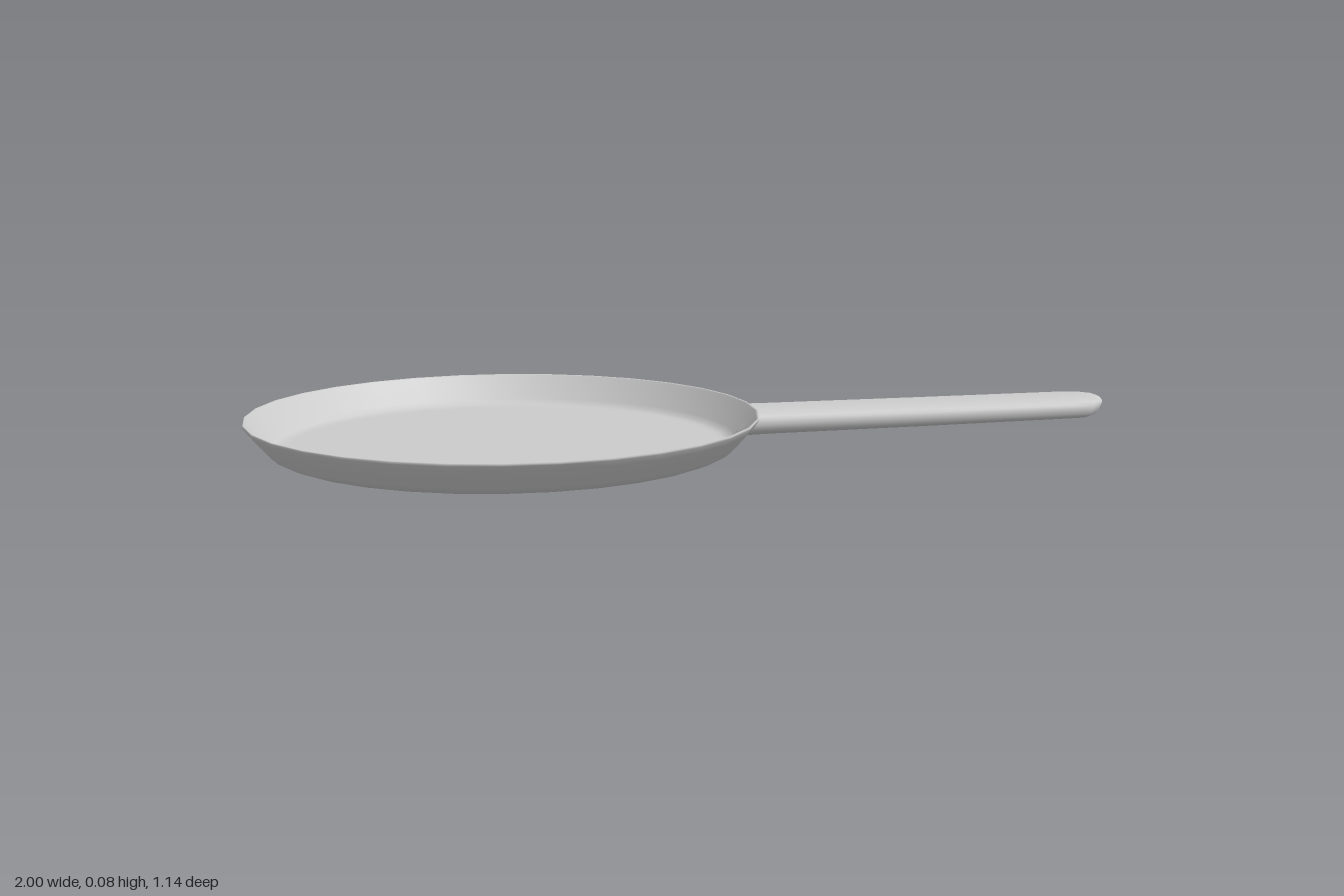
import * as THREE from 'three';

const material = new THREE.MeshStandardMaterial({ color: 0xcccccc });
const PAN_X = -0.428;

// Radius of the sloping wall at height y
const wallRadius = (y) => 0.512 + 0.06 * THREE.MathUtils.clamp((y - 0.012) / 0.066, 0, 1);

// Shallow dish: underside, flared wall, thin rim, inner wall and cooking floor
function makeDish() {
  const profile = [
    [0, 0.004], [0.47, 0.004], [0.498, 0.005], [0.515, 0.012], [0.528, 0.023],
    [0.562, 0.062], [0.571, 0.075], [0.572, 0.079], [0.57, 0.081], [0.566, 0.079],
    [0.557, 0.065], [0.523, 0.026], [0.512, 0.016], [0.499, 0.013], [0.48, 0.012], [0, 0.012],
  ].map(([r, y]) => new THREE.Vector2(r, y));
  return new THREE.Mesh(new THREE.LatheGeometry(profile, 32), material);
}

// Flat rounded handle lofted along local +x, its root fitted to the wall curve
function makeHandle() {
  const sides = 24;
  // distance, half width, half height, centre height, lean of the end
  const rings = [
    [0, 0.088, 0.031, 0.041, 0],
    [0.61, 0.083, 0.03, 0.041, 0],
    [1.0, 0.079, 0.029, 0.039, 0],
    [1.36, 0.074, 0.028, 0.038, 0],
    [1.412, 0.071, 0.027, 0.037, 0.45],
    [1.435, 0.058, 0.023, 0.038, 0.6],
    [1.446, 0.04, 0.015, 0.04, 0.7],
    [1.45, 0, 0, 0.042, 0],
  ];
  const round = (v) => Math.sign(v) * Math.abs(v) ** 0.72;
  const positions = [], index = [];
  rings.forEach(([x, w, h, cy, lean], i) => {
    for (let j = 0; j < sides; j++) {
      const a = (j / sides) * Math.PI * 2;
      const z = w * round(Math.cos(a)), y = cy + h * round(Math.sin(a));
      const px = i === 0 ? Math.sqrt((wallRadius(y) - 0.004) ** 2 - z * z) : x + lean * (y - cy);
      positions.push(px, y, z);
      if (i < rings.length - 1) {
        const p = i * sides + j, q = i * sides + (j + 1) % sides;
        index.push(p, p + sides, q, q, p + sides, q + sides);
      }
    }
  });
  const geometry = new THREE.BufferGeometry();
  geometry.setAttribute('position', new THREE.Float32BufferAttribute(positions, 3));
  geometry.setIndex(index);
  geometry.computeVertexNormals();
  return new THREE.Mesh(geometry, material);
}

export function createModel() {
  const model = new THREE.Group();
  model.name = 'fryingPan';

  const dish = makeDish();
  dish.name = 'dish';
  dish.position.x = PAN_X;

  const handle = makeHandle();
  handle.name = 'handle';
  handle.position.x = PAN_X;
  handle.rotation.y = -THREE.MathUtils.degToRad(11.9);

  model.add(dish, handle);
  return model;
}
